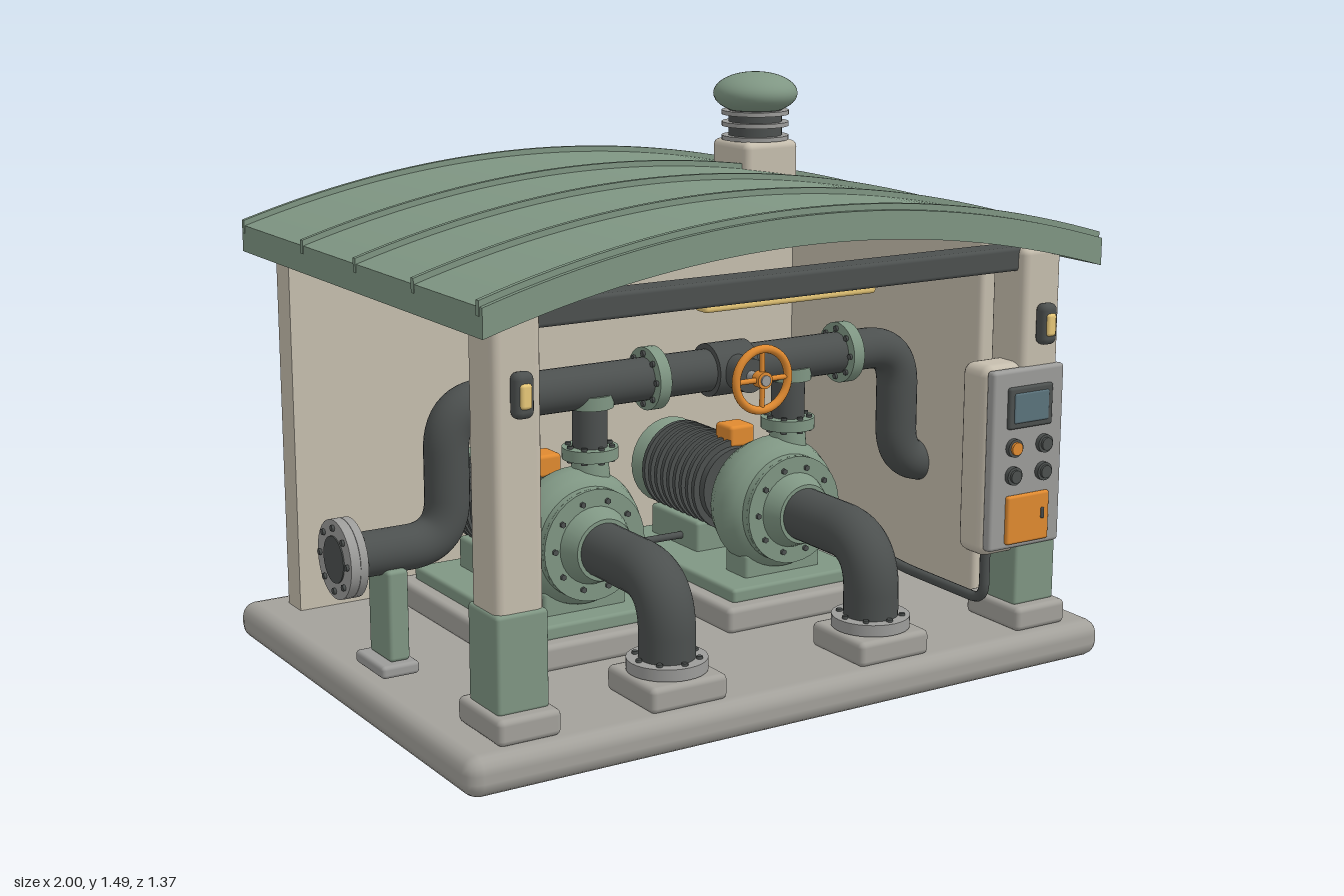
import * as THREE from 'three';
import { toCreasedNormals } from 'three/addons/utils/BufferGeometryUtils.js';
import { RoundedBoxGeometry } from 'three/addons/geometries/RoundedBoxGeometry.js';

const paint = (color, side = THREE.FrontSide) => new THREE.MeshStandardMaterial({ color, side });
const GREEN = paint(0x7f9683), BEIGE = paint(0xc6beae), DARK = paint(0x4c504f), GREY = paint(0x9c9c9a);
const SLAB = paint(0xa3a19b), ORANGE = paint(0xe08a30), YELLOW = paint(0xe8c878), GLASS = paint(0x5b737c);
const PIPE = paint(0x4c504f, THREE.DoubleSide);

function add(parent, name, geo, mat, x = 0, y = 0, z = 0) {
  const m = new THREE.Mesh(geo, mat);
  m.name = name;
  m.position.set(x, y, z);
  parent.add(m);
  return m;
}

function group(parent, name, x = 0, y = 0, z = 0) {
  const g = new THREE.Group();
  g.name = name;
  g.position.set(x, y, z);
  parent.add(g);
  return g;
}

// Box with softened edges
function box(parent, name, mat, w, h, d, x, y, z, r = 0.01) {
  const radius = Math.min(r, w * 0.45, h * 0.45, d * 0.45);
  return add(parent, name, new RoundedBoxGeometry(w, h, d, 2, radius), mat, x, y, z);
}

// Cylinder lying along the chosen axis
function cyl(parent, name, mat, r, len, axis, x, y, z, r2 = r) {
  const g = new THREE.CylinderGeometry(r2, r, len, 32);
  if (axis === 'x') g.rotateZ(-Math.PI / 2);
  if (axis === 'z') g.rotateX(Math.PI / 2);
  return add(parent, name, g, mat, x, y, z);
}

// Disc with a ring of bolts
function flange(parent, name, mat, r, len, axis, x, y, z, bolts = 8) {
  const f = group(parent, name, x, y, z);
  cyl(f, 'disc', mat, r, len, axis, 0, 0, 0);
  for (let i = 0; i < bolts; i++) {
    const a = (i / bolts) * Math.PI * 2, u = Math.cos(a) * r * 0.8, v = Math.sin(a) * r * 0.8;
    const p = axis === 'x' ? [0, u, v] : axis === 'y' ? [u, 0, v] : [u, v, 0];
    const b = new THREE.CylinderGeometry(0.008, 0.008, len + 0.014, 6);
    if (axis === 'x') b.rotateZ(Math.PI / 2);
    if (axis === 'z') b.rotateX(Math.PI / 2);
    add(f, 'bolt', b, DARK, ...p);
  }
  return f;
}

// Pipe through corner points, each corner rounded by a bend
function pipe(parent, name, pts, r, bend, mat = PIPE) {
  const v = pts.map((p) => new THREE.Vector3(...p)), path = new THREE.CurvePath();
  let from = v[0];
  for (let i = 1; i < v.length - 1; i++) {
    const a = v[i].clone().add(v[i - 1].clone().sub(v[i]).setLength(bend));
    const b = v[i].clone().add(v[i + 1].clone().sub(v[i]).setLength(bend));
    path.add(new THREE.LineCurve3(from, a));
    path.add(new THREE.QuadraticBezierCurve3(a, v[i], b));
    from = b;
  }
  path.add(new THREE.LineCurve3(from, v[v.length - 1]));
  return add(parent, name, new THREE.TubeGeometry(path, 30 * v.length, r, r > 0.03 ? 28 : 10), mat);
}

// Height of the arched roof surface
const roofY = (x) => 1.258 - (x * x) / 5.95;

// Extruded arch slice: top follows the roof, bottom is a function of x
function arch(parent, name, mat, half, top, bottom, depth, z) {
  const s = new THREE.Shape(), n = 36;
  for (let i = 0; i <= n; i++) {
    const x = -half + (2 * half * i) / n;
    if (i) s.lineTo(x, top(x)); else s.moveTo(x, top(x));
  }
  for (let i = n; i >= 0; i--) {
    const x = -half + (2 * half * i) / n;
    s.lineTo(x, bottom(x));
  }
  const g = new THREE.ExtrudeGeometry(s, { depth, bevelEnabled: false });
  return add(parent, name, toCreasedNormals(g, 0.5), mat, 0, 0, z);
}

function buildPump(root, x) {
  const p = group(root, 'pump', x);
  box(p, 'plinth', SLAB, 0.49, 0.07, 0.72, 0, 0.132, -0.1, 0.015);
  box(p, 'pumpFrame', GREEN, 0.41, 0.04, 0.64, 0, 0.182, -0.1);
  box(p, 'pumpFoot', GREEN, 0.24, 0.08, 0.1, 0, 0.225, 0.1);
  // Volute casing turned around the shaft
  const prof = [[0, -0.08], [0.12, -0.08], [0.16, -0.06], [0.178, -0.02], [0.178, 0.02], [0.165, 0.055], [0.145, 0.07], [0.145, 0.09], [0, 0.09]];
  const vol = new THREE.LatheGeometry(prof.map((q) => new THREE.Vector2(...q)), 48).rotateX(Math.PI / 2);
  add(p, 'volute', toCreasedNormals(vol, 0.7), GREEN, 0, 0.385, 0.1);
  flange(p, 'voluteCover', GREEN, 0.145, 0.02, 'z', 0, 0.385, 0.19, 10);
  cyl(p, 'suctionNozzle', GREEN, 0.105, 0.06, 'z', 0, 0.385, 0.22, 0.08);
  // Discharge branch rising to the header
  cyl(p, 'dischargeNeck', GREEN, 0.06, 0.16, 'y', 0.045, 0.52, 0.1, 0.045);
  flange(p, 'dischargeFlange', GREEN, 0.072, 0.03, 'y', 0.045, 0.6, 0.1);
  cyl(p, 'dischargePipe', DARK, 0.045, 0.15, 'y', 0.045, 0.68, 0.1);
  cyl(p, 'headerSaddle', GREEN, 0.062, 0.035, 'y', 0.045, 0.735, 0.1);
  // Suction pipe turning down into the slab
  pipe(p, 'suctionPipe', [[0, 0.385, 0.22], [0, 0.385, 0.54], [0, 0.15, 0.54]], 0.07, 0.13);
  flange(p, 'suctionFlange', GREY, 0.1, 0.03, 'y', 0, 0.18, 0.54);
  box(p, 'suctionFooting', SLAB, 0.215, 0.065, 0.215, 0, 0.13, 0.54, 0.015);
  // Finned motor
  cyl(p, 'coupling', GREY, 0.06, 0.12, 'z', 0, 0.385, -0.03);
  cyl(p, 'motor', DARK, 0.11, 0.32, 'z', 0, 0.385, -0.23);
  for (let i = 0; i < 9; i++) cyl(p, 'motorFin', DARK, 0.128, 0.014, 'z', 0, 0.385, -0.1 - i * 0.032);
  cyl(p, 'fanCover', GREEN, 0.125, 0.05, 'z', 0, 0.385, -0.4, 0.1);
  box(p, 'motorFoot', GREEN, 0.2, 0.1, 0.24, 0, 0.235, -0.24);
  box(p, 'terminalBox', ORANGE, 0.08, 0.06, 0.08, 0.03, 0.52, -0.13);
}

// Outlet flange, its pipe end and its stand, on either side
function buildOutlet(root, s) {
  const o = group(root, s > 0 ? 'leftOutlet' : 'rightOutlet');
  flange(o, 'outletFlange', GREY, 0.098, 0.024, 'x', s * 0.981, 0.43, 0.1);
  flange(o, 'innerFlange', GREY, 0.098, 0.02, 'x', s * 0.958, 0.43, 0.1);
  cyl(o, 'outletBore', DARK, 0.058, 0.02, 'x', s * 0.986, 0.43, 0.1);
  box(o, 'outletStand', GREEN, 0.055, 0.23, 0.118, s * 0.855, 0.28, 0.102);
  box(o, 'standFoot', GREY, 0.1, 0.032, 0.16, s * 0.862, 0.149, 0.1);
}

function buildPost(root, s) {
  const p = group(root, s > 0 ? 'leftPost' : 'rightPost', s * 0.76);
  box(p, 'postShaft', BEIGE, 0.125, 1.0, 0.13, 0, 0.605, 0.54, 0.02);
  box(p, 'postSleeve', GREEN, 0.135, 0.24, 0.145, 0, 0.28, 0.54);
  box(p, 'postFooting', SLAB, 0.165, 0.065, 0.21, 0, 0.132, 0.54, 0.015);
  box(p, 'lampHousing', DARK, 0.052, 0.108, 0.04, 0, 0.908, 0.622, 0.018);
  box(p, 'lampLens', YELLOW, 0.03, 0.06, 0.02, 0, 0.908, 0.638);
}

function buildPanel(root) {
  const p = group(root, 'controlPanel', 0.715);
  box(p, 'cabinet', BEIGE, 0.25, 0.505, 0.11, 0, 0.555, 0.545, 0.03);
  box(p, 'faceplate', GREY, 0.235, 0.475, 0.03, -0.002, 0.56, 0.605);
  box(p, 'screenFrame', DARK, 0.145, 0.11, 0.016, 0, 0.698, 0.622);
  box(p, 'screen', GLASS, 0.115, 0.08, 0.012, 0, 0.698, 0.627);
  for (const [x, y, m] of [[-0.05, 0.594, ORANGE], [0.05, 0.594, DARK], [-0.05, 0.52, DARK], [0.05, 0.52, DARK]]) {
    cyl(p, 'buttonRing', DARK, 0.024, 0.02, 'z', x, y, 0.623);
    cyl(p, 'button', m, 0.017, 0.03, 'z', x, y, 0.625);
  }
  box(p, 'accessDoor', ORANGE, 0.14, 0.13, 0.016, 0, 0.402, 0.624);
  box(p, 'accessLatch', DARK, 0.01, 0.03, 0.01, 0.045, 0.41, 0.633);
}

export function createModel() {
  const root = new THREE.Group();
  root.name = 'pumpHouse';

  // Slab and walls
  box(root, 'baseSlab', SLAB, 1.88, 0.1, 1.365, 0, 0.05, 0, 0.04);
  arch(root, 'backWall', BEIGE, 0.83, (x) => roofY(x) - 0.03, () => 0.09, 0.08, -0.59);
  box(root, 'sideWall', BEIGE, 0.07, 1.01, 0.945, 0.8, 0.595, -0.117, 0.015);

  // Arched roof with standing seams
  arch(root, 'roof', GREEN, 0.885, roofY, (x) => roofY(x) - 0.07, 1.36, -0.68);
  for (const z of [0.66, 0.342, 0.028, -0.285, -0.668])
    arch(root, 'roofSeam', GREEN, 0.887, (x) => roofY(x) + 0.015, (x) => roofY(x) - 0.02, 0.014, z - 0.007);
  box(root, 'frontBeam', DARK, 1.42, 0.062, 0.08, 0, 1.074, 0.54);
  box(root, 'stripLight', YELLOW, 0.5, 0.02, 0.05, 0.01, 1.037, 0.54);

  for (const s of [-1, 1]) {
    buildPost(root, s);
    buildOutlet(root, s);
  }
  buildPanel(root);
  buildPump(root, -0.33);
  buildPump(root, 0.28);

  // Header pipe bending down to both outlets
  const half = [[0.98, 0.43, 0.1], [0.69, 0.43, 0.1], [0.69, 0.77, 0.1]];
  pipe(root, 'headerPipe', [...half.map(([x, y, z]) => [-x, y, z]), ...half.reverse()], 0.056, 0.11);
  for (const x of [-0.567, -0.107, 0.5]) flange(root, 'headerFlange', GREEN, 0.082, 0.034, 'x', x, 0.77, 0.1);

  // Valve with handwheel
  const valve = group(root, 'valve', 0.125, 0.77, 0.1);
  cyl(valve, 'valveBody', DARK, 0.07, 0.12, 'x', 0, 0, 0);
  cyl(valve, 'valveBonnet', DARK, 0.045, 0.1, 'z', 0, 0, 0.07);
  cyl(valve, 'valveStem', GREY, 0.014, 0.1, 'z', 0, 0, 0.14);
  add(valve, 'wheelRim', new THREE.TorusGeometry(0.08, 0.011, 12, 40), ORANGE, 0, 0, 0.17);
  cyl(valve, 'wheelHub', ORANGE, 0.022, 0.03, 'z', 0, 0, 0.17);
  cyl(valve, 'wheelSpoke', ORANGE, 0.007, 0.16, 'x', 0, 0, 0.17);
  cyl(valve, 'wheelSpoke', ORANGE, 0.007, 0.16, 'y', 0, 0, 0.17);

  // Cables from the motors to the panel
  pipe(root, 'panelConduit', [[0.66, 0.33, 0.53], [0.66, 0.16, 0.53], [0.66, 0.16, 0.2], [0.56, 0.245, -0.2]], 0.014, 0.05);
  pipe(root, 'motorCable', [[-0.25, 0.235, -0.2], [0.3, 0.23, -0.2], [0.56, 0.245, -0.2]], 0.01, 0.05);

  // Side louvre
  const louvre = group(root, 'louvre', 0.838, 0.828, -0.18);
  box(louvre, 'louvreFrame', DARK, 0.02, 0.198, 0.275, 0, 0, 0, 0.005);
  for (let i = 0; i < 6; i++)
    box(louvre, 'slat', GREY, 0.022, 0.014, 0.24, 0.006, -0.077 + i * 0.031, 0, 0.004).rotation.z = -0.4;

  // Back door and window
  box(root, 'backDoor', GREEN, 0.355, 0.69, 0.045, 0.395, 0.455, -0.603);
  box(root, 'doorWindowFrame', DARK, 0.25, 0.215, 0.014, 0.395, 0.625, -0.626, 0.004);
  box(root, 'doorWindow', GLASS, 0.225, 0.19, 0.014, 0.395, 0.625, -0.63, 0.004);
  box(root, 'doorHandle', GREY, 0.022, 0.1, 0.022, 0.52, 0.42, -0.637, 0.008);
  box(root, 'backWindow', DARK, 0.37, 0.245, 0.024, -0.31, 0.765, -0.595, 0.005);

  // Roof ventilator
  const vent = group(root, 'ventilator', 0.515, 0, -0.345);
  box(vent, 'ventCurb', BEIGE, 0.178, 0.12, 0.178, 0, 1.24, 0, 0.02);
  cyl(vent, 'ventNeck', DARK, 0.075, 0.12, 'y', 0, 1.345, 0);
  for (const y of [1.305, 1.343, 1.375]) cyl(vent, 'ventRing', GREY, 0.094, 0.012, 'y', 0, y, 0);
  add(vent, 'ventCap', new THREE.SphereGeometry(0.118, 36, 20).scale(1, 0.5, 1), GREEN, 0, 1.428, 0);
  return root;
}
